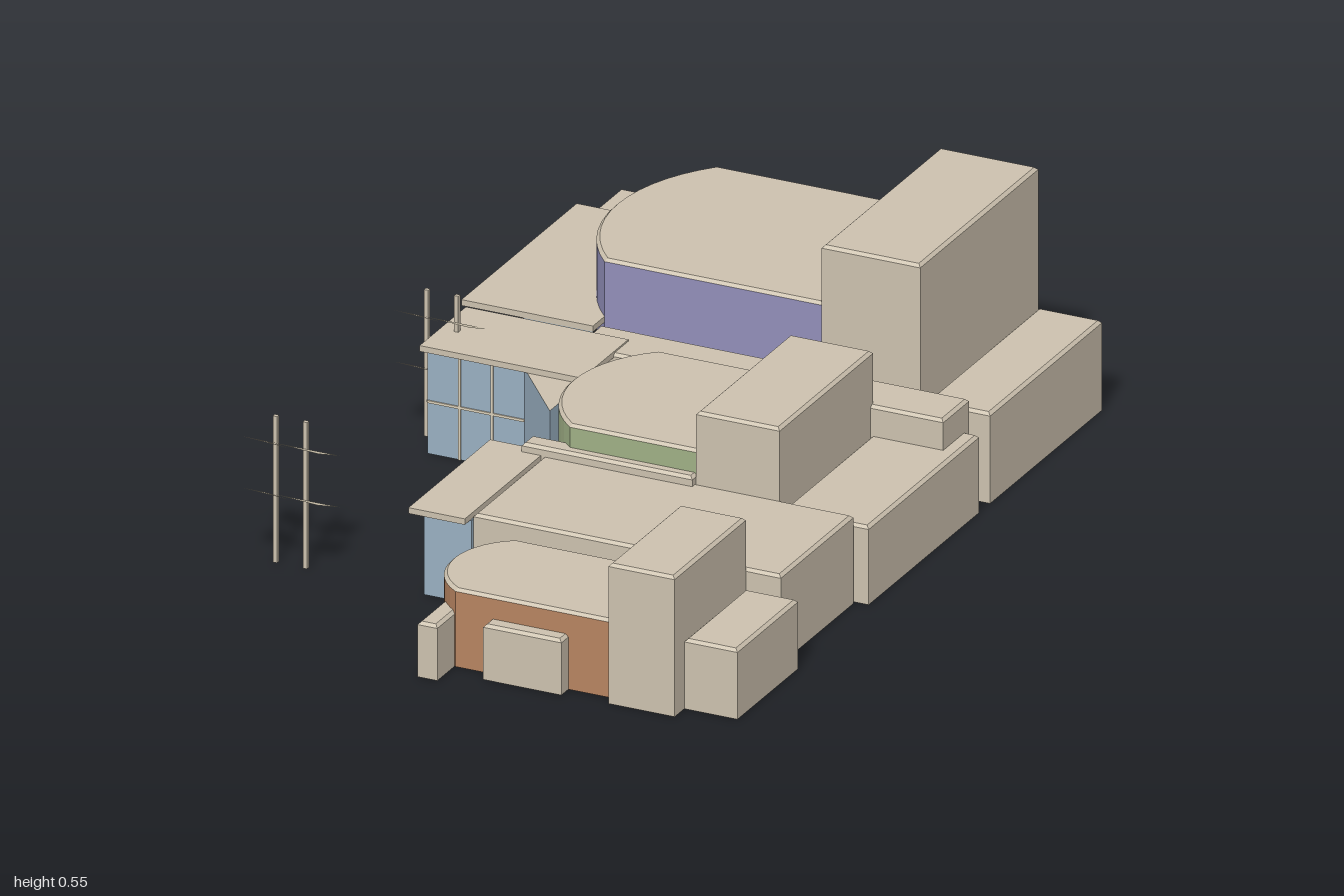
import * as THREE from 'three';

const mat = (name, color) => new THREE.MeshStandardMaterial({ name, color, side: THREE.DoubleSide });

export function createModel() {
  const model = new THREE.Group();
  model.name = 'artsCentre';
  const stone = mat('stone', 0xcdc2af);
  const purple = mat('purple', 0x928fba);
  const green = mat('green', 0xa0b086);
  const copper = mat('copper', 0xb78461);
  const glass = mat('glass', 0x9ab0c2);
  const cream = mat('cream', 0xdacfb8);

  const add = (name, geometry, material, parent = model) => {
    const mesh = new THREE.Mesh(geometry, material);
    mesh.name = name;
    parent.add(mesh);
    return mesh;
  };

  // Flat-shaded surface from loose triangles
  const surface = (points) => {
    const g = new THREE.BufferGeometry();
    g.setAttribute('position', new THREE.Float32BufferAttribute(points.flat(), 3));
    g.computeVertexNormals();
    return g;
  };

  // Band of quads between two [x, z] outlines at two heights
  const band = (lower, y0, upper, y1, closed = true) => {
    const pts = [];
    const n = lower.length;
    for (let i = 0; i < (closed ? n : n - 1); i++) {
      const j = (i + 1) % n;
      const a = [lower[i][0], y0, lower[i][1]], b = [lower[j][0], y0, lower[j][1]];
      const c = [upper[j][0], y1, upper[j][1]], d = [upper[i][0], y1, upper[i][1]];
      pts.push(a, b, c, a, c, d);
    }
    return surface(pts);
  };

  // Flat convex roof over an outline
  const cap = (outline, y) => {
    const pts = [];
    for (let i = 1; i < outline.length - 1; i++) {
      for (const p of [outline[0], outline[i], outline[i + 1]]) pts.push([p[0], y, p[1]]);
    }
    return surface(pts);
  };

  // Outline drawn in towards its centre by d
  const inset = (outline, d) => {
    const xs = outline.map((p) => p[0]), zs = outline.map((p) => p[1]);
    const range = (v) => [(Math.min(...v) + Math.max(...v)) / 2, (Math.max(...v) - Math.min(...v)) / 2];
    const [cx, hx] = range(xs), [cz, hz] = range(zs);
    return outline.map(([x, z]) => [cx + (x - cx) * (1 - d / hx), cz + (z - cz) * (1 - d / hz)]);
  };

  const rect = (x0, x1, z0, z1) => [[x0, z1], [x1, z1], [x1, z0], [x0, z0]];

  // Rectangle whose -x end bulges out as an arc
  const apse = (xTip, xArc, x1, z0, z1) => {
    const half = (z1 - z0) / 2, sag = xArc - xTip, zc = (z0 + z1) / 2;
    const r = (half * half + sag * sag) / (2 * sag);
    const sweep = Math.asin(half / r);
    const outline = [[x1, z1], [x1, z0]];
    const steps = 14;
    for (let i = 0; i <= steps; i++) {
      const t = -sweep + (2 * sweep * i) / steps;
      outline.push([xTip + r - r * Math.cos(t), zc + r * Math.sin(t)]);
    }
    return outline;
  };

  // Open-bottomed block: walls, chamfered rim and roof
  const block = (name, outline, h, wall = stone) => {
    const g = new THREE.Group();
    g.name = name;
    const top = inset(outline, 0.007);
    add('walls', band(outline, 0, outline, h - 0.007), wall, g);
    add('rim', band(outline, h - 0.007, top, h), stone, g);
    add('roof', cap(top, h), stone, g);
    model.add(g);
  };

  const slab = (name, x0, x1, z0, z1, y, t = 0.014) => {
    add(name, new THREE.BoxGeometry(x1 - x0, t, z1 - z0), stone)
      .position.set((x0 + x1) / 2, y - t / 2, (z0 + z1) / 2);
  };

  // Glass along a path, optionally with a grid of cream bars
  const glazing = (name, path, h, bars = true) => {
    const g = new THREE.Group();
    g.name = name;
    add('panes', band(path, 0, path, h, false), glass, g);
    for (let i = 0; bars && i < path.length - 1; i++) {
      const [ax, az] = path[i], [bx, bz] = path[i + 1];
      const len = Math.hypot(bx - ax, bz - az);
      const n = Math.max(1, Math.round(len / 0.09));
      const rail = add('rail', new THREE.BoxGeometry(len, 0.006, 0.006), cream, g);
      rail.position.set((ax + bx) / 2, h / 2, (az + bz) / 2);
      rail.rotation.y = -Math.atan2(bz - az, bx - ax);
      for (let k = 1; k < n; k++) {
        add('mullion', new THREE.BoxGeometry(0.006, h, 0.006), cream, g)
          .position.set(ax + ((bx - ax) * k) / n, h / 2, az + ((bz - az) * k) / n);
      }
    }
    model.add(g);
  };

  // Three halls with curved ends
  block('largeHall', apse(-0.39, -0.28, 0.25, -0.92, -0.365), 0.408, purple);
  block('middleHall', apse(-0.178, -0.075, 0.235, -0.215, 0.225), 0.29, green);
  block('frontHall', apse(-0.095, -0.015, 0.365, 0.62, 0.915), 0.187, copper);

  // Towers, side blocks and linking blocks
  const blocks = [
    ['largeTower', 0.255, 0.495, -0.935, -0.35, 0.552],
    ['largeSideBlock', 0.495, 0.65, -0.935, -0.38, 0.216],
    ['middleTower', 0.237, 0.44, -0.228, 0.235, 0.386],
    ['middleSideBlock', 0.44, 0.65, -0.325, 0.222, 0.187],
    ['frontTower', 0.372, 0.533, 0.592, 0.945, 0.335],
    ['frontSideBlock', 0.533, 0.662, 0.597, 0.897, 0.167],
    ['corridor', -0.28, 0.617, -0.343, -0.215, 0.26],
    ['middleHallLedge', -0.18, 0.235, 0.2, 0.25, 0.235],
    ['foyer', -0.13, 0.617, 0.23, 0.59, 0.212],
    ['entrancePorch', 0.07, 0.26, 0.9, 0.95, 0.132],
    ['sideWall', -0.065, -0.017, 0.62, 1.0, 0.132],
  ];
  for (const [name, x0, x1, z0, z1, h] of blocks) block(name, rect(x0, x1, z0, z1), h);

  // Back annex: stone wall meeting a glazed corner
  const annex = [[0.195, -0.9], [0.195, -1], [-0.3, -1]];
  add('annexWall', band(annex, 0, annex, 0.255, false), stone);
  slab('annexRoof', -0.55, 0.195, -1, -0.87, 0.265);
  glazing('annexGlass', [[-0.3, -0.999], [-0.55, -0.999], [-0.55, -0.54]], 0.255);
  glazing('wingGlass', [[-0.55, -0.54], [-0.45, -0.31], [-0.28, -0.31]], 0.255, false);
  slab('wingRoof', -0.6, -0.28, -0.88, -0.308, 0.27);

  // Glazed lobby with a pointed bay
  glazing('lobbyGlass', [[-0.57, -0.27], [-0.57, -0.08], [-0.335, -0.08]], 0.25);
  glazing('bayGlass', [[-0.335, -0.08], [-0.185, 0.1], [-0.185, -0.08]], 0.25, false);
  add('bayRoof', cap([[-0.335, -0.08], [-0.185, 0.1], [-0.185, -0.08]], 0.25), stone);
  slab('lobbyRoof', -0.58, -0.185, -0.29, -0.06, 0.264);

  // Front glazed wing
  glazing('frontWingGlass', [[-0.13, 0.25], [-0.245, 0.25], [-0.245, 0.6], [-0.13, 0.6], [-0.13, 0.58]], 0.2, false);
  slab('frontWingRoof', -0.27, -0.133, 0.222, 0.627, 0.214);

  // Pairs of poles carrying tilted triangular sails
  for (const z of [0.585, -0.165]) {
    for (const [x, side] of [[-0.613, -1], [-0.54, 1]]) {
      const pole = new THREE.Group();
      pole.name = 'sailPole';
      pole.position.set(x, 0, z);
      add('pole', new THREE.BoxGeometry(0.01, 0.35, 0.01), stone, pole).position.y = 0.175;
      for (const y of [0.283, 0.16]) {
        const tri = [[-0.054, y + 0.03, 0.058], [0.054, y + 0.02, 0.05], [side * 0.054, y - 0.028, -0.058]];
        add('sail', surface(tri), cream, pole);
      }
      model.add(pole);
    }
  }
  return model;
}
